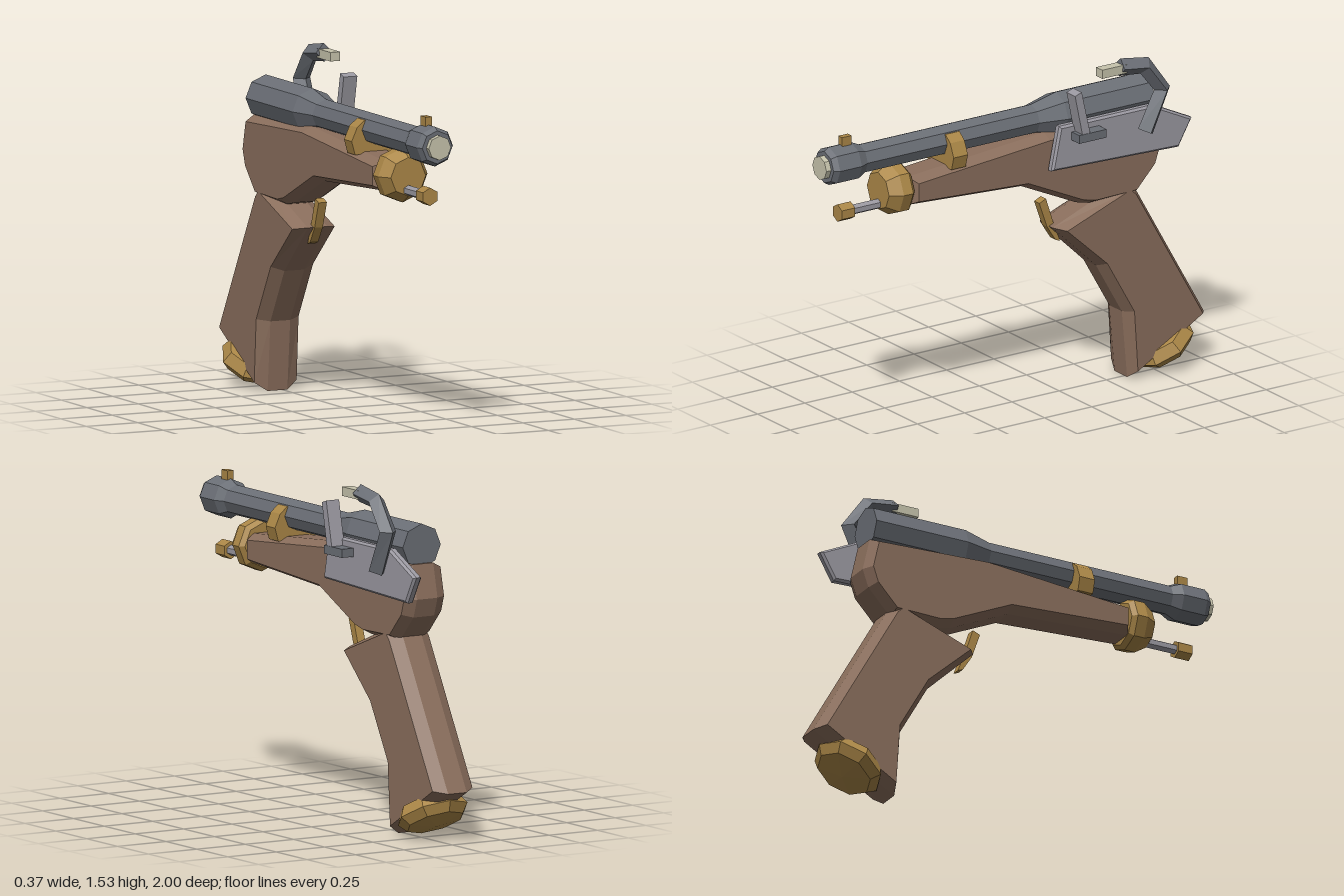
import * as THREE from 'three';

const mat = (name, color) => {
  const m = new THREE.MeshStandardMaterial({ color });
  m.name = name;
  return m;
};

// Flat-faced copy of a geometry
function faceted(geo) {
  const g = geo.index ? geo.toNonIndexed() : geo;
  g.computeVertexNormals();
  return g;
}

// Side profile of [z, y] points, extruded across x with chamfered rims
function profile(points, width, chamfer = 0, chamferX = chamfer) {
  const shape = new THREE.Shape(points.map(p => new THREE.Vector2(p[0], p[1])));
  const depth = width - 2 * chamferX;
  const geo = new THREE.ExtrudeGeometry(shape, {
    depth, bevelEnabled: chamfer > 0, bevelSegments: 1,
    bevelSize: chamfer, bevelOffset: -chamfer, bevelThickness: chamferX,
  });
  return geo.rotateY(-Math.PI / 2).translate(depth / 2, 0, 0);
}

// Turned part of [radius, z] points along the z axis
function turned(points, sides = 8) {
  return new THREE.LatheGeometry(points.map(p => new THREE.Vector2(p[0], p[1])), sides)
    .rotateX(Math.PI / 2);
}

// Diamond-section bar swept through [z, y, radius] stations
function diamondBar(stations) {
  const pos = [], index = [], n = stations.length;
  stations.forEach(([z, y, r], i) => {
    const a = stations[Math.max(i - 1, 0)], b = stations[Math.min(i + 1, n - 1)];
    const len = Math.hypot(b[0] - a[0], b[1] - a[1]);
    const nz = -(b[1] - a[1]) / len * r, ny = (b[0] - a[0]) / len * r;
    pos.push(r, y, z, 0, y + ny, z + nz, -r, y, z, 0, y - ny, z - nz);
  });
  for (let i = 0; i < n - 1; i++) {
    for (let k = 0; k < 4; k++) {
      const a = i * 4 + k, b = i * 4 + (k + 1) % 4;
      index.push(a, b, b + 4, a, b + 4, a + 4);
    }
  }
  const e = (n - 1) * 4;
  index.push(0, 2, 1, 0, 3, 2, e, e + 1, e + 2, e, e + 2, e + 3);
  const geo = new THREE.BufferGeometry();
  geo.setAttribute('position', new THREE.Float32BufferAttribute(pos, 3));
  geo.setIndex(index);
  return geo;
}

export function createModel() {
  const wood = mat('wood', 0x8a6e5c);
  const steel = mat('dark steel', 0x6b6f76);
  const paleSteel = mat('pale steel', 0x9b99a1);
  const brass = mat('brass', 0xab8747);
  const bone = mat('pale stone', 0xc6c3ac);

  const model = new THREE.Group();
  model.name = 'flintlockPistol';
  const CX = -0.027; // centre line of the pistol
  const LX = 0.14;   // centre line of the lock parts

  const add = (name, geo, material, x = CX, y = 0, z = 0) => {
    const mesh = new THREE.Mesh(faceted(geo), material);
    mesh.name = name;
    mesh.position.set(x, y, z);
    model.add(mesh);
    return mesh;
  };

  // Wooden stock and grip
  add('stock', profile([
    [0.57, 1.035], [0.57, 1.165], [-0.15, 1.225], [-0.72, 1.2], [-0.755, 1.05],
    [-0.727, 0.968], [-0.62, 0.855], [-0.39, 0.85], [-0.32, 0.866], [-0.03, 1.0],
  ], 0.206, 0.025, 0.05), wood);
  add('grip', profile([
    [-0.2, 0.77], [-0.583, 0.92], [-0.63, 0.877], [-1.0, 0.225],
    [-0.595, 0.0], [-0.567, 0.31], [-0.43, 0.55],
  ], 0.206, 0.03, 0.055), wood);

  // Octagonal barrel
  add('barrel', turned([
    [0, -0.71], [0.098, -0.71], [0.098, -0.25], [0.067, -0.12], [0.067, 0.79],
    [0.0875, 0.835], [0.0875, 0.95], [0.073, 0.975], [0, 0.975],
  ]), steel, CX, 1.277);
  add('muzzlePlug', turned([[0, 0.96], [0.054, 0.96], [0.054, 1.0], [0, 1.0]]), bone, CX, 1.277);
  add('frontSight', new THREE.BoxGeometry(0.03, 0.06, 0.05), brass, CX, 1.37, 0.865);

  // Brass fittings under the barrel
  const half = [[0.1, 1.17], [0.117, 1.23], [0.09, 1.29], [0.053, 1.32]];
  const bandShape = new THREE.Shape([...half, ...half.map(p => [-p[0], p[1]]).reverse()]
    .map(p => new THREE.Vector2(p[0], p[1])));
  add('barrelBand', new THREE.ExtrudeGeometry(bandShape, { depth: 0.075, bevelEnabled: false }),
    brass, CX, 0, 0.295);
  add('foreEndCap', turned([
    [0, 0.565], [0.1, 0.565], [0.12, 0.585], [0.12, 0.635], [0.085, 0.69], [0, 0.69],
  ]), brass, CX, 1.11);
  add('ramrod', turned([[0, 0.6], [0.023, 0.6], [0.023, 0.85], [0, 0.85]], 6), paleSteel, CX, 1.05);
  add('ramrodTip', turned([[0, 0.835], [0.04, 0.835], [0.04, 0.905], [0, 0.905]], 6),
    brass, CX, 1.05);

  // Trigger
  add('trigger', profile([
    [-0.15, 0.885], [-0.185, 0.9], [-0.225, 0.78], [-0.26, 0.69], [-0.235, 0.7], [-0.19, 0.77],
  ].reverse(), 0.04), brass);

  // Faceted butt cap, facing down and back along the grip end
  const cap = add('buttCap', new THREE.LatheGeometry([
    [0, -0.03], [0.135, -0.03], [0.163, 0.02], [0.13, 0.06], [0, 0.08],
  ].map(p => new THREE.Vector2(p[0], p[1])), 8), brass, CX, 0.125, -0.79);
  cap.rotation.x = Math.PI + 0.507;

  // Lock plate on the left side
  add('lockPlate', profile([
    [-0.134, 1.07], [-0.176, 1.27], [-0.67, 1.27], [-0.877, 1.17], [-0.807, 1.048],
  ], 0.042, 0.01), paleSteel, 0.095);

  // Frizzen and its foot
  add('frizzenFoot', new THREE.BoxGeometry(0.07, 0.038, 0.145), steel, LX, 1.216, -0.308);
  add('frizzen', profile([
    [-0.255, 1.23], [-0.215, 1.42], [-0.25, 1.432], [-0.295, 1.235],
  ], 0.066), paleSteel, LX);

  // Cock arm holding the flint
  add('cockArm', diamondBar([
    [-0.61, 1.17, 0.043], [-0.697, 1.352, 0.042], [-0.605, 1.475, 0.04], [-0.473, 1.493, 0.04],
  ]), steel, LX);
  add('flint', new THREE.BoxGeometry(0.048, 0.04, 0.13), bone, LX, 1.488, -0.43);

  return model;
}
